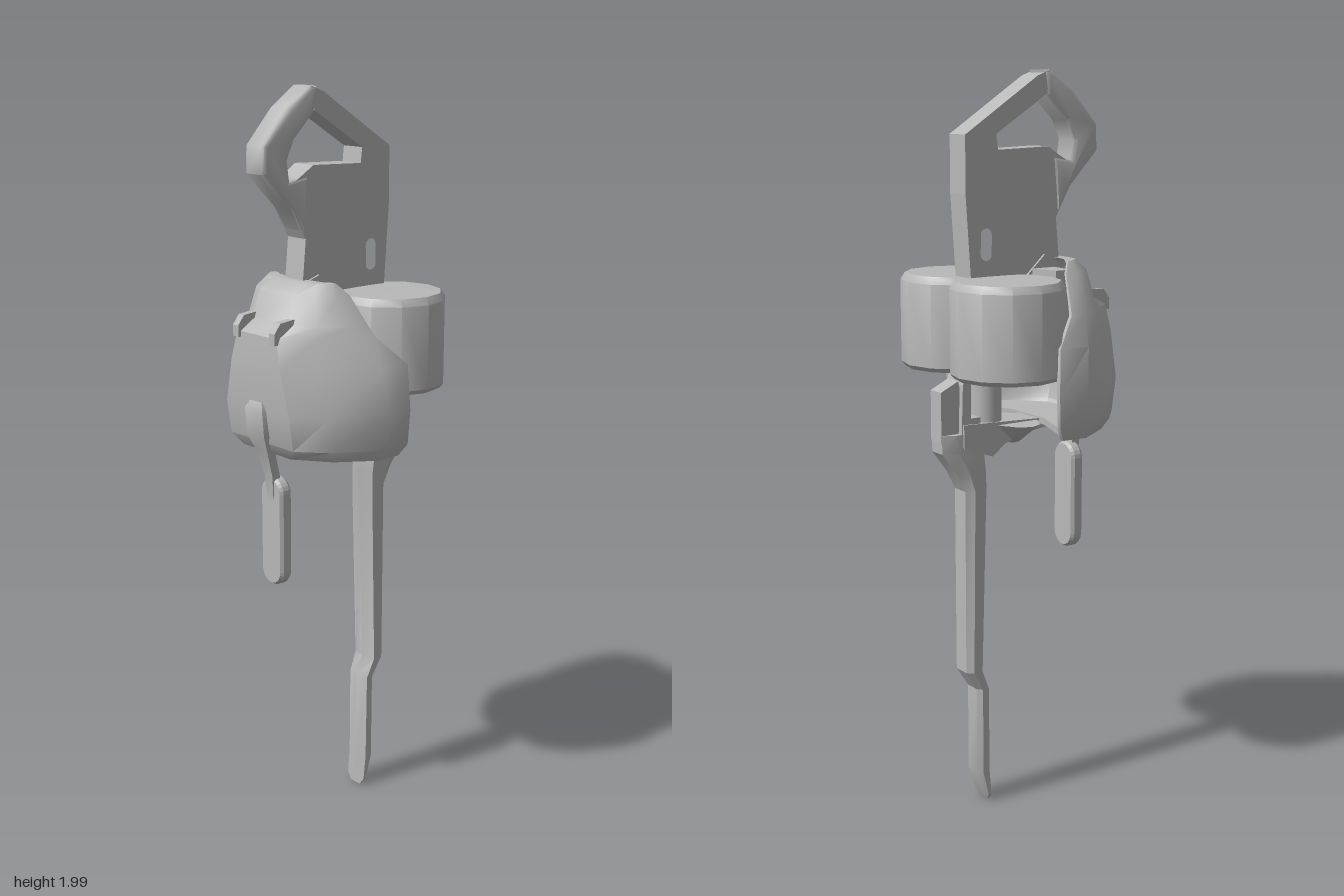
import * as THREE from 'three';
import { toCreasedNormals } from 'three/addons/utils/BufferGeometryUtils.js';

const grey = new THREE.MeshStandardMaterial({ color: 0xb8b8b8 });
grey.name = 'plain grey';

function add(parent, name, geometry, x = 0, y = 0, z = 0) {
  const mesh = new THREE.Mesh(geometry, grey);
  mesh.name = name;
  mesh.position.set(x, y, z);
  parent.add(mesh);
  return mesh;
}

// Closed solid through rows of equal loops; each row is { y, pts: [x, z] }, rising,
// with points anticlockwise as seen from above.
function loft(rows, crease = 0.7) {
  const n = rows[0].pts.length, pos = [], idx = [];
  rows.forEach(r => r.pts.forEach(([x, z]) => pos.push(x, r.y, z)));
  for (let r = 0; r < rows.length - 1; r++) {
    for (let i = 0; i < n; i++) {
      const a = r * n + i, b = r * n + (i + 1) % n;
      idx.push(a, b, b + n, a, b + n, a + n);
    }
  }
  const cap = row => THREE.ShapeUtils.triangulateShape(
    row.pts.map(([x, z]) => new THREE.Vector2(x, -z)), []);
  const top = (rows.length - 1) * n;
  cap(rows[0]).forEach(([a, b, c]) => idx.push(a, c, b));
  cap(rows[rows.length - 1]).forEach(([a, b, c]) => idx.push(top + a, top + b, top + c));
  const g = new THREE.BufferGeometry();
  g.setAttribute('position', new THREE.Float32BufferAttribute(pos, 3));
  g.setIndex(idx);
  return toCreasedNormals(g, crease);
}

// Side profile of [z, y] points, extruded across x and centred on x = 0.
function profile(points, width, holes = [], bevel = 0) {
  const vec = list => list.map(([z, y]) => new THREE.Vector2(-z, y));
  const shape = new THREE.Shape(vec(points));
  holes.forEach(h => shape.holes.push(new THREE.Path(vec(h))));
  const depth = width - 2 * bevel;
  const g = new THREE.ExtrudeGeometry(shape, {
    depth, bevelEnabled: bevel > 0, bevelSize: bevel, bevelOffset: -bevel,
    bevelThickness: bevel, bevelSegments: 2,
  });
  g.translate(0, 0, -depth / 2);
  g.rotateY(Math.PI / 2);
  return g;
}

function addHandle(group) {
  const slot = [];
  for (let i = 0; i < 12; i++) {
    const a = i / 12 * Math.PI * 2 + 0.01;
    slot.push([-0.112 + 0.018 * Math.cos(a), 1.56 + 0.018 * Math.sin(a) + Math.sign(Math.sin(a)) * 0.024]);
  }
  add(group, 'handlePlate', profile([
    [0.09, 2], [0.05, 1.985], [-0.175, 1.84], [-0.175, 1.69], [-0.155, 1.4], [0.09, 1.4],
    [0.12, 1.515], [0.11, 1.62], [0.155, 1.7], [0.15, 1.765], [0.115, 1.785],
    [0.085, 1.805], [-0.075, 1.8], [-0.08, 1.84], [0.08, 1.94],
  ], 0.072, [slot]));
  // rounded front strut closing the finger opening
  add(group, 'handleGrip', toCreasedNormals(profile([
    [0.095, 2], [0.165, 1.95], [0.245, 1.86], [0.247, 1.79], [0.155, 1.695],
    [0.115, 1.63], [0.1, 1.78], [0.16, 1.77], [0.167, 1.82], [0.145, 1.87], [0.08, 1.935], [0.07, 2],
  ], 0.078, [], 0.012), 0.8));
}

function addDrums(group) {
  const outline = [[0, 1.225], [0.14, 1.225], [0.15, 1.237], [0.15, 1.457], [0.138, 1.476], [0, 1.48]]
    .map(p => new THREE.Vector2(...p));
  for (const s of [1, -1]) {
    const g = new THREE.LatheGeometry(outline, 12);
    g.rotateY(Math.PI / 2);
    add(group, s > 0 ? 'leftDrum' : 'rightDrum', toCreasedNormals(g, 0.6), s * 0.12, 0, -0.103);
  }
}

function addShell(group) {
  // y, then half section from the back rim round to the front
  const sections = [
    [1.07, [0.25, -0.02], [0.255, 0.05], [0.19, 0.15], [0.1, 0.215]],
    [1.1, [0.265, -0.04], [0.27, 0.045], [0.205, 0.165], [0.13, 0.232]],
    [1.19, [0.268, -0.045], [0.28, 0.035], [0.2, 0.17], [0.13, 0.245]],
    [1.31, [0.262, -0.04], [0.262, 0.05], [0.175, 0.165], [0.1, 0.25]],
    [1.385, [0.215, 0.03], [0.212, 0.075], [0.15, 0.165], [0.08, 0.245]],
    [1.415, [0.195, 0.04], [0.195, 0.085], [0.14, 0.16], [0.075, 0.2]],
    [1.485, [0.15, 0.06], [0.15, 0.1], [0.12, 0.15], [0.07, 0.178]],
    [1.515, [0.125, 0.085], [0.125, 0.1], [0.1, 0.128], [0.06, 0.138]],
  ];
  const mirror = list => list.map(([x, z]) => [-x, z]);
  const rows = sections.map(([y, ...half]) => {
    const inner = half.map(([x, z], i) => [x * (i ? 0.87 : 0.95), z - [0, 0.015, 0.03, 0.035][i]]);
    return { y, pts: [...mirror(half), ...[...half].reverse(), ...inner, ...mirror(inner).reverse()] };
  });
  add(group, 'shell', loft(rows, 0.75));

  // floor of the hollow shell
  const floor = [[-0.24, -0.01], [-0.24, 0.05], [-0.18, 0.14], [-0.1, 0.2],
    [0.1, 0.2], [0.18, 0.14], [0.24, 0.05], [0.24, -0.01], [0.07, 0.05], [-0.07, 0.05]];
  add(group, 'shellFloor', loft([{ y: 1.072, pts: floor }, { y: 1.09, pts: floor }]));

  // core between shell and drums
  const core = [[-0.12, 0.1], [0.12, 0.1], [0.12, 0.05], [0.05, 0.03], [-0.05, 0.03], [-0.12, 0.05]];
  add(group, 'core', loft([{ y: 1.23, pts: core }, { y: 1.49, pts: core }]));
  add(group, 'handleSocket', profile([[0.09, 1.4], [0.1, 1.515], [0.07, 1.525], [0.01, 1.47], [0, 1.4]], 0.085));

  for (const s of [1, -1]) {
    add(group, s > 0 ? 'leftClip' : 'rightClip', profile(
      [[0.19, 1.37], [0.254, 1.37], [0.254, 1.4], [0.235, 1.425], [0.19, 1.43]], 0.022), s * 0.075);
  }
}

function addPull(group) {
  // tab on the shell, tapering into a thin link
  const box = (y, w, z0, z1) => ({ y, pts: [[-w, z1], [w, z1], [w, z0], [-w, z0]] });
  add(group, 'pullTab', loft([
    box(0.935, 0.012, 0.188, 0.205), box(1.0, 0.016, 0.185, 0.21),
    box(1.08, 0.026, 0.21, 0.235), box(1.12, 0.036, 0.22, 0.252),
    box(1.19, 0.036, 0.23, 0.258), box(1.21, 0.025, 0.23, 0.25),
  ]));
  const tag = new THREE.Shape();
  tag.absarc(0, 0.74, 0.037, Math.PI, Math.PI * 2);
  tag.absarc(0, 0.955, 0.037, 0, Math.PI);
  const g = new THREE.ExtrudeGeometry(tag, {
    depth: 0.02, bevelThickness: 0.009, bevelSize: 0.006, bevelSegments: 1, curveSegments: 6 });
  add(group, 'pullTag', g, 0, 0, 0.175);
}

function addBlade(group) {
  // ridged front, chamfered back: y, half width, front z, back z
  const rows = [
    [0.01, 0.02, -0.097, -0.107], [0.03, 0.034, -0.097, -0.115], [0.1, 0.035, -0.099, -0.14],
    [0.345, 0.036, -0.102, -0.14], [0.4, 0.04, -0.122, -0.175], [0.91, 0.042, -0.105, -0.175],
    [0.96, 0.042, -0.1, -0.2], [1.02, 0.042, -0.1, -0.245], [1.07, 0.042, -0.13, -0.247],
  ].map(([y, w, f, b]) => {
    const d = f - b, side = f - d * 0.2, back = b + d * 0.3;
    return { y, pts: [[0, f], [w, side], [w, back], [w * 0.6, b], [-w * 0.6, b], [-w, back], [-w, side]] };
  });
  add(group, 'blade', loft(rows, 0.4));
  add(group, 'bladeTang', profile([[-0.17, 1.05], [-0.248, 1.05], [-0.248, 1.185], [-0.195, 1.21], [-0.17, 1.1]], 0.05));
  add(group, 'bladeCatch', profile([[-0.135, 1.05], [-0.195, 1.05], [-0.19, 1.2], [-0.18, 1.225], [-0.165, 1.225], [-0.165, 1.11], [-0.135, 1.11]], 0.08));
}

function addMount(group) {
  add(group, 'mountPost', new THREE.CylinderGeometry(0.042, 0.042, 0.17, 12), 0, 1.155, -0.092);
  add(group, 'mountBracket', profile([
    [0.075, 1.06], [-0.01, 1.05], [-0.06, 1.03], [-0.1, 1], [-0.19, 1.03], [-0.19, 1.095], [0.075, 1.085],
  ], 0.09));
  // flared collar under the shell
  const collar = new THREE.CylinderGeometry(0.115, 0.04, 0.055, 12);
  collar.scale(1, 1, 0.6);
  add(group, 'mountCollar', toCreasedNormals(collar, 0.7), 0, 1.055, -0.02);
}

export function createModel() {
  const group = new THREE.Group();
  group.name = 'handTool';
  addHandle(group);
  addDrums(group);
  addShell(group);
  addPull(group);
  addBlade(group);
  addMount(group);
  return group;
}
